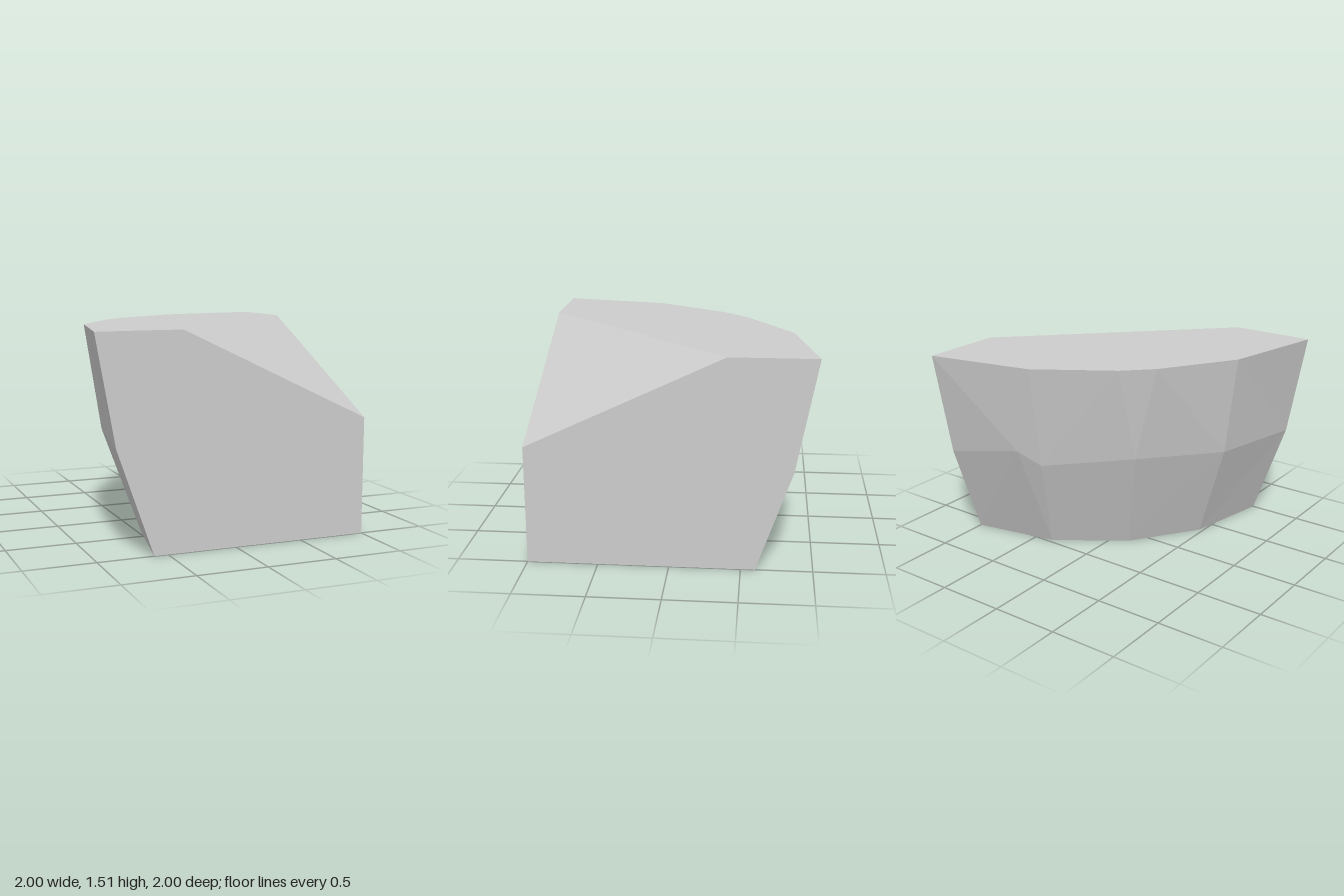
import * as THREE from 'three';

const H = 1.51;

// Rows of the faceted outer side, running from the +x edge round to the +z edge
const topRow = [[1, -1], [0.22, -0.84], [-0.31, -0.5], [-0.5, -0.31], [-0.84, 0.22], [-1, 1]].map(([x, z]) => [x, H, z]);
const midRow = [[1, 0.72, -0.85], [0.4, 0.84, -0.79], [0.25, 0.73, -0.7], [-0.33, 0.8, -0.33], [-0.73, 0.76, 0.26], [-0.86, 0.74, 1]];
const bottomRow = [[1, -0.6], [0.36, -0.47], [0.36, -0.47], [-0.13, -0.13], [-0.47, 0.36], [-0.6, 1]].map(([x, z]) => [x, 0, z]);

// Corners of the square inner side and its bevel
const foot = [1, 0, 1];
const bevelTip = [1, 0.85, 1];
const bevelRight = [1, H, -0.39];
const bevelLeft = [-0.39, H, 1];

// Convex polygon as a triangle fan
function fan(points) {
  const tris = [];
  for (let i = 1; i < points.length - 1; i++) tris.push([points[0], points[i], points[i + 1]]);
  return tris;
}

// Triangles between two rows; flip chooses the diagonal
function strip(up, low, flip) {
  const tris = [];
  for (let i = 0; i < up.length - 1; i++) {
    const [a, b, c, d] = [up[i], low[i], low[i + 1], up[i + 1]];
    if (flip) tris.push([a, b, d], [d, b, c]);
    else tris.push([a, b, c], [a, c, d]);
  }
  return tris.filter(([a, b, c]) => a.join() !== b.join() && b.join() !== c.join());
}

export function createModel() {
  const stone = new THREE.MeshStandardMaterial({ color: 0xcccccc });
  stone.name = 'stone grey';
  const group = new THREE.Group();
  group.name = 'cornerRock';

  function add(name, tris) {
    const geometry = new THREE.BufferGeometry();
    geometry.setAttribute('position', new THREE.Float32BufferAttribute(tris.flat(2), 3));
    geometry.computeVertexNormals(); // unshared corners give flat facets
    const mesh = new THREE.Mesh(geometry, stone);
    mesh.name = name;
    group.add(mesh);
  }

  // Rough outer side
  add('upperFacets', strip(topRow, midRow, false));
  add('lowerFacets', strip(midRow, bottomRow, true));
  // Flat cut faces
  add('topFace', fan([topRow[5], bevelLeft, bevelRight, ...topRow.slice(0, 5)]));
  add('bottomFace', fan([foot, ...[5, 4, 3, 1, 0].map((i) => bottomRow[i])]));
  add('frontFace', fan([foot, bevelTip, bevelLeft, topRow[5], midRow[5], bottomRow[5]]));
  add('sideFace', fan([foot, bottomRow[0], midRow[0], topRow[0], bevelRight, bevelTip]));
  add('bevelFace', [[bevelTip, bevelRight, bevelLeft]]);
  return group;
}
